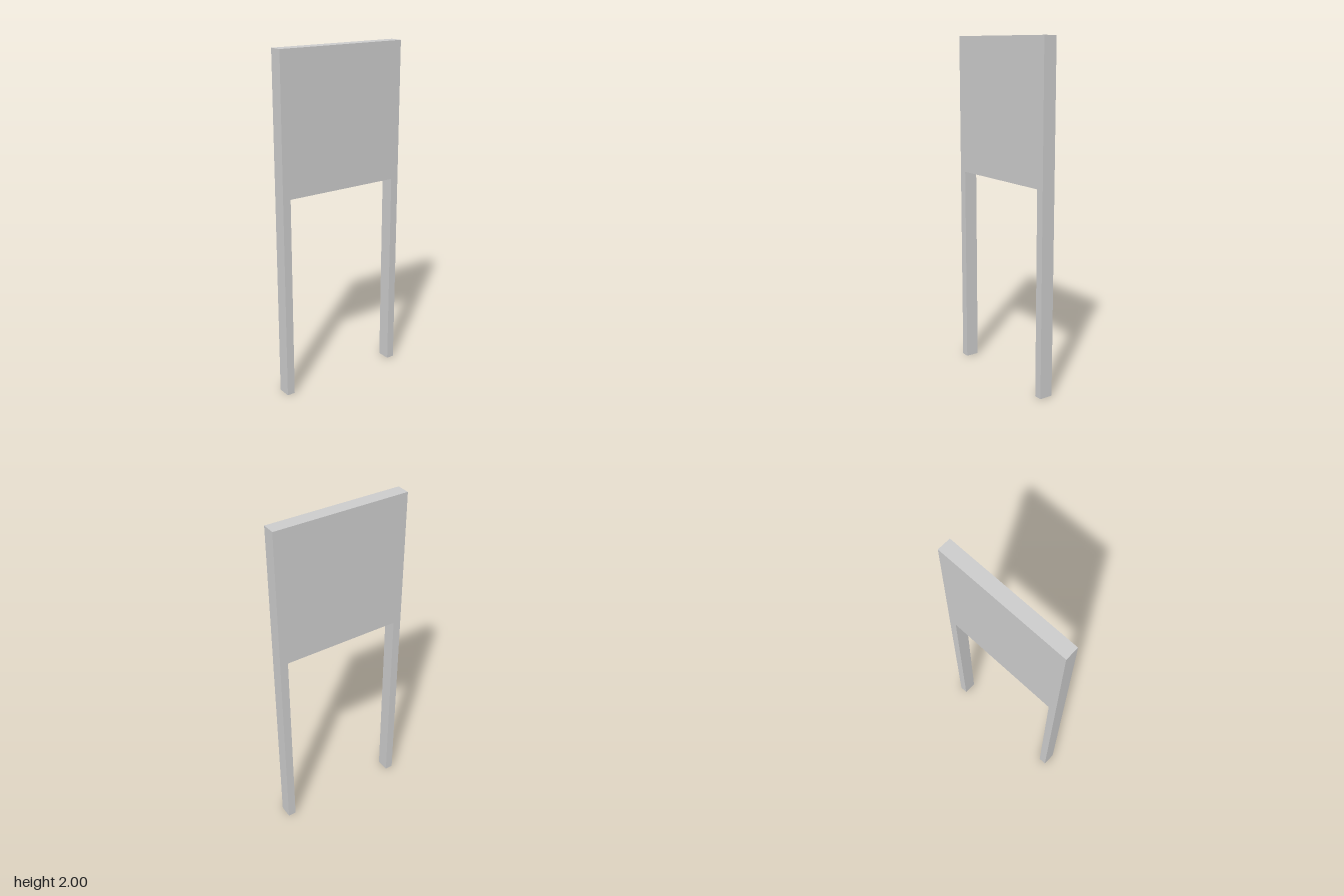
import * as THREE from 'three';

const HALF_WIDTH = 0.403, INNER = 0.355, HEIGHT = 2, UNDERSIDE = 1.195, DEPTH = 0.08;

// Drops the triangles lying on the ground, leaving the legs open underneath
function openBottom(geometry) {
  const source = geometry.index ? geometry.toNonIndexed() : geometry;
  const pos = source.attributes.position;
  const kept = [];
  for (let i = 0; i < pos.count; i += 3) {
    const corners = [i, i + 1, i + 2];
    if (corners.every((c) => Math.abs(pos.getY(c)) < 1e-5)) continue;
    for (const c of corners) kept.push(pos.getX(c), pos.getY(c), pos.getZ(c));
  }
  const result = new THREE.BufferGeometry();
  result.setAttribute('position', new THREE.Float32BufferAttribute(kept, 3));
  result.computeVertexNormals();
  return result;
}

export function createModel() {
  const group = new THREE.Group();
  group.name = 'standingPanel';

  // Square board and its two legs share one hollow shell
  const outline = new THREE.Shape([
    [-HALF_WIDTH, 0], [-INNER, 0], [-INNER, UNDERSIDE], [INNER, UNDERSIDE],
    [INNER, 0], [HALF_WIDTH, 0], [HALF_WIDTH, HEIGHT], [-HALF_WIDTH, HEIGHT],
  ].map(([x, y]) => new THREE.Vector2(x, y)));

  const solid = new THREE.ExtrudeGeometry(outline, { depth: DEPTH, bevelEnabled: false });
  solid.translate(0, 0, -DEPTH / 2);

  const panel = new THREE.Mesh(
    openBottom(solid),
    new THREE.MeshStandardMaterial({ color: 0xcccccc, flatShading: true, side: THREE.DoubleSide }),
  );
  panel.name = 'boardWithLegs';
  group.add(panel);
  return group;
}
